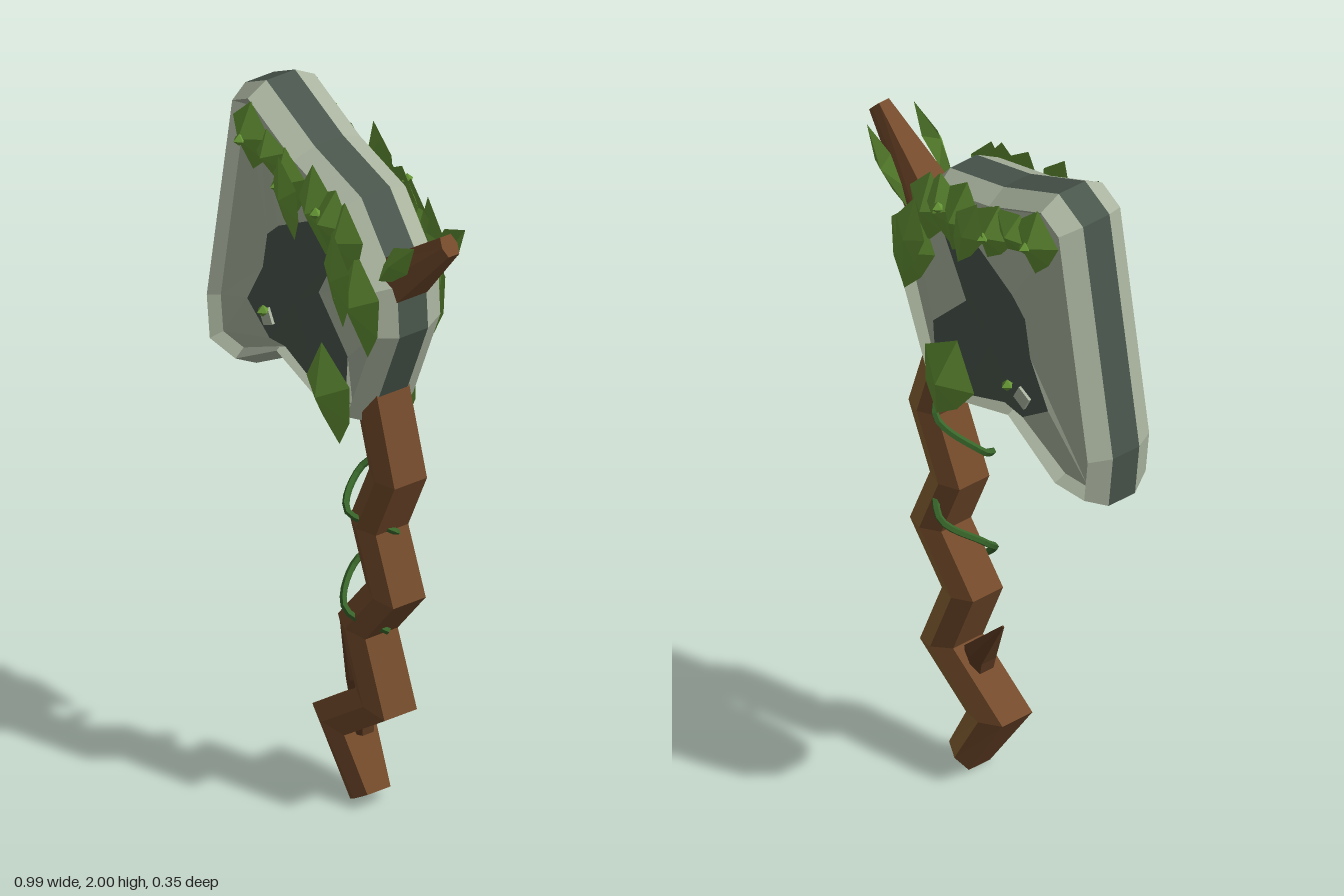
import * as THREE from 'three';

const mat = (name, color, side = THREE.FrontSide) => {
  const m = new THREE.MeshStandardMaterial({ color, flatShading: true, side });
  m.name = name;
  return m;
};

// Collects corner positions; a quad or triangle is given by its corners in order
class Facets {
  constructor() { this.p = []; }
  face(pts, flip = false) {
    const q = flip ? [...pts].reverse() : pts;
    for (let i = 1; i < q.length - 1; i++) this.p.push(...q[0], ...q[i], ...q[i + 1]);
  }
  // Strip between two closed loops
  bridge(a, b, flip = false) {
    a.forEach((_, i) => {
      const j = (i + 1) % a.length;
      this.face([a[i], a[j], b[j], b[i]], flip);
    });
  }
  // Closed loop filled towards one point
  fan(loop, c, flip = false) {
    loop.forEach((v, i) => this.face([v, loop[(i + 1) % loop.length], c], flip));
  }
  mesh(name, material) {
    const g = new THREE.BufferGeometry();
    g.setAttribute('position', new THREE.Float32BufferAttribute(this.p, 3));
    g.computeVertexNormals();
    const m = new THREE.Mesh(g, material);
    m.name = name;
    return m;
  }
}

// Mitre vector (left-hand side) at a corner of a path
function mitre(prev, cur, next) {
  const d1 = new THREE.Vector2(cur[0] - prev[0], cur[1] - prev[1]).normalize();
  const d2 = new THREE.Vector2(next[0] - cur[0], next[1] - cur[1]).normalize();
  if (d1.lengthSq() === 0) d1.copy(d2);
  if (d2.lengthSq() === 0) d2.copy(d1);
  const n = new THREE.Vector2(-d1.y - d2.y, d1.x + d2.x).normalize();
  return n.multiplyScalar(1 / (n.x * -d1.y + n.y * d1.x));
}

// Six-sided branch through points [x, y, half width, half depth], with mitred bends;
// the strip at the back left takes its own material
function branch(name, path, material, stripMaterial) {
  const f = new Facets(), strip = new Facets();
  const section = [[1, -0.7], [1, 0.7], [0, 1], [-1, 0.7], [-1, -0.7], [0, -1]];
  const rings = path.map((c, i) => {
    const m = mitre(path[Math.max(i - 1, 0)], c, path[Math.min(i + 1, path.length - 1)]);
    const [x, y, w, d] = c;
    return section.map(([u, v]) => [x + m.x * w * u, y + m.y * w * u, v * d]);
  });
  for (let i = 0; i < rings.length - 1; i++) {
    const a = rings[i], b = rings[i + 1];
    for (let k = 0; k < 6; k++) {
      const j = (k + 1) % 6;
      (k === 4 ? strip : f).face([a[k], a[j], b[j], b[k]]);
    }
  }
  f.face(rings[0], true);
  f.face(rings[rings.length - 1]);
  const group = new THREE.Group();
  group.name = name;
  group.add(f.mesh(name + 'Bark', material), strip.mesh(name + 'Strip', stripMaterial));
  return group;
}

export function createModel() {
  const root = new THREE.Group();
  root.name = 'stoneAxe';
  const lightStone = mat('light stone', 0xaab49f);
  const darkStone = mat('dark stone', 0x4a574d);
  const wood = mat('wood', 0x744b2b);
  const tanWood = mat('tan wood', 0x8d6534);
  const darkWood = mat('dark wood', 0x5c3a22);
  const leafGreen = mat('leaf green', 0x669636, THREE.DoubleSide);
  const vineGreen = mat('vine green', 0x38662a);

  // Axe head: dark rim band, light bevels and a raised dark middle on both sides
  const outline = [[-0.285, 2], [-0.38, 1.945], [-0.497, 1.28], [-0.48, 1.125], [-0.33, 1.12], [-0.15, 1.235],
    [0.06, 1.175], [0.18, 1.2], [0.31, 1.52], [0.3, 1.67], [0.14, 1.86], [-0.07, 1.91]];
  const middle = [[-0.16, 1.64], [-0.21, 1.59], [-0.23, 1.48], [-0.3, 1.35], [-0.2, 1.28], [-0.13, 1.29],
    [0.04, 1.23], [0.14, 1.27], [0.15, 1.4], [0.02, 1.53], [0.11, 1.7], [-0.03, 1.72]];
  const inset = (k) => outline.map((c, i) => {
    const n = outline.length;
    const m = mitre(outline[(i + n - 1) % n], c, outline[(i + 1) % n]);
    return [c[0] + m.x * k, c[1] + m.y * k];
  });
  const at = (loop, z) => loop.map(([x, y]) => [x, y, z]);
  const band = new Facets(), bevels = new Facets(), cheeks = new Facets();
  band.bridge(at(outline, -0.045), at(outline, 0.045));
  for (const s of [1, -1]) {
    const loops = [at(outline, 0.045 * s), at(inset(0.03), 0.105 * s), at(inset(0.05), 0.075 * s), at(middle, 0.095 * s)];
    for (let i = 0; i < 3; i++) bevels.bridge(loops[i], loops[i + 1], s < 0);
    cheeks.fan(loops[3], [-0.08, 1.45, 0.1 * s], s < 0);
  }
  root.add(band.mesh('headRim', darkStone), bevels.mesh('headBevels', lightStone), cheeks.mesh('headCheeks', darkStone));

  // Zigzag handle, horn behind the head and a twig near the foot
  const bends = [[0.116, 0.029], [0, 0.21], [0.187, 0.35], [0.105, 0.545], [0.23, 0.7], [0.155, 0.875], [0.24, 1.06], [0.165, 1.29]];
  root.add(branch('handle', bends.map(([x, y], i) => [x, y, i ? 0.053 : 0.046, i ? 0.073 : 0.052]), wood, tanWood));
  root.add(branch('horn', [[0.2, 1.61, 0.07, 0.08], [0.471, 1.867, 0.028, 0.024]], wood, wood));
  root.add(branch('twig', [[0.09, 0.2, 0.016, 0.025], [0.075, 0.36, 0.035, 0.035], [-0.015, 0.485, 0.003, 0.003]], darkWood, darkWood));

  // Vine: two turns around the handle, following its bends
  const vinePoints = [[0.2, 1.17], [0.155, 1.09], [0.07, 0.99], [0.13, 0.92], [0.215, 0.875],
    [0.14, 0.78], [0.06, 0.71], [0.12, 0.62], [0.2, 0.56]]
    .map(([x, y], i) => new THREE.Vector3(x, y, -0.082 * Math.sin(i * Math.PI / 2)));
  const vine = new THREE.Mesh(new THREE.TubeGeometry(new THREE.CatmullRomCurve3(vinePoints), 48, 0.01, 5), vineGreen);
  vine.name = 'vine';
  root.add(vine);

  // Peaked leaves share one outline: x, y, base z, peak height, half width, half length, tilt
  const leafShape = [[0, 1], [-0.85, 0.2], [-0.45, -0.5], [0.1, -1], [0.65, -0.5], [0.9, 0.25]];
  const leaves = [
    [-0.27, 1.865, 0.104, 0.042, 0.095, 0.1, 0],
    [-0.18, 1.85, 0.104, 0.036, 0.09, 0.07, 0.3],
    [-0.1, 1.81, 0.104, 0.042, 0.085, 0.095, 0.2],
    [-0.05, 1.8, 0.15, 0.024, 0.065, 0.115, 0.3],
    [0.03, 1.79, 0.104, 0.044, 0.1, 0.125, 0.2],
    [0.09, 1.79, 0.104, 0.046, 0.1, 0.1, -0.2],
    [0.15, 1.76, 0.104, 0.038, 0.09, 0.11, 0],
    [0.18, 1.67, 0.15, 0.022, 0.065, 0.135, 0.15],
    [0.22, 1.6, 0.104, 0.047, 0.1, 0.15, 0.15],
    [0.08, 1.26, 0.104, 0.046, 0.115, 0.14, 0.25],
    [0.345, 1.775, 0.08, 0.025, 0.045, 0.12, -0.75],
  ];
  const buds = [[-0.265, 1.865], [-0.1, 1.81], [0.075, 1.815], [0.185, 1.62], [-0.18, 1.385]];
  for (const s of [1, -1]) {
    const foliage = new Facets();
    for (const [x, y, z, lift, w, h, tilt] of leaves) {
      const c = Math.cos(tilt), k = Math.sin(tilt);
      const loop = leafShape.map(([u, v]) => [x + u * w * c - v * h * k, y + u * w * k + v * h * c, z * s]);
      foliage.fan(loop, [x, y, (z + lift) * s], s < 0);
    }
    root.add(foliage.mesh(s > 0 ? 'frontLeaves' : 'backLeaves', leafGreen));
    for (const [x, y] of buds) {
      const bud = new THREE.Mesh(new THREE.OctahedronGeometry(0.018), leafGreen);
      bud.position.set(x, y, (y < 1.5 ? 0.13 : 0.145) * s);
      bud.name = 'bud';
      root.add(bud);
    }
    // Pale chip on the cheek
    const chip = new THREE.Mesh(new THREE.BoxGeometry(0.045, 0.045, 0.009), lightStone);
    chip.position.set(-0.205, 1.345, 0.1 * s);
    chip.rotation.z = 0.5;
    chip.name = 'stoneChip';
    root.add(chip);
  }
  return root;
}
